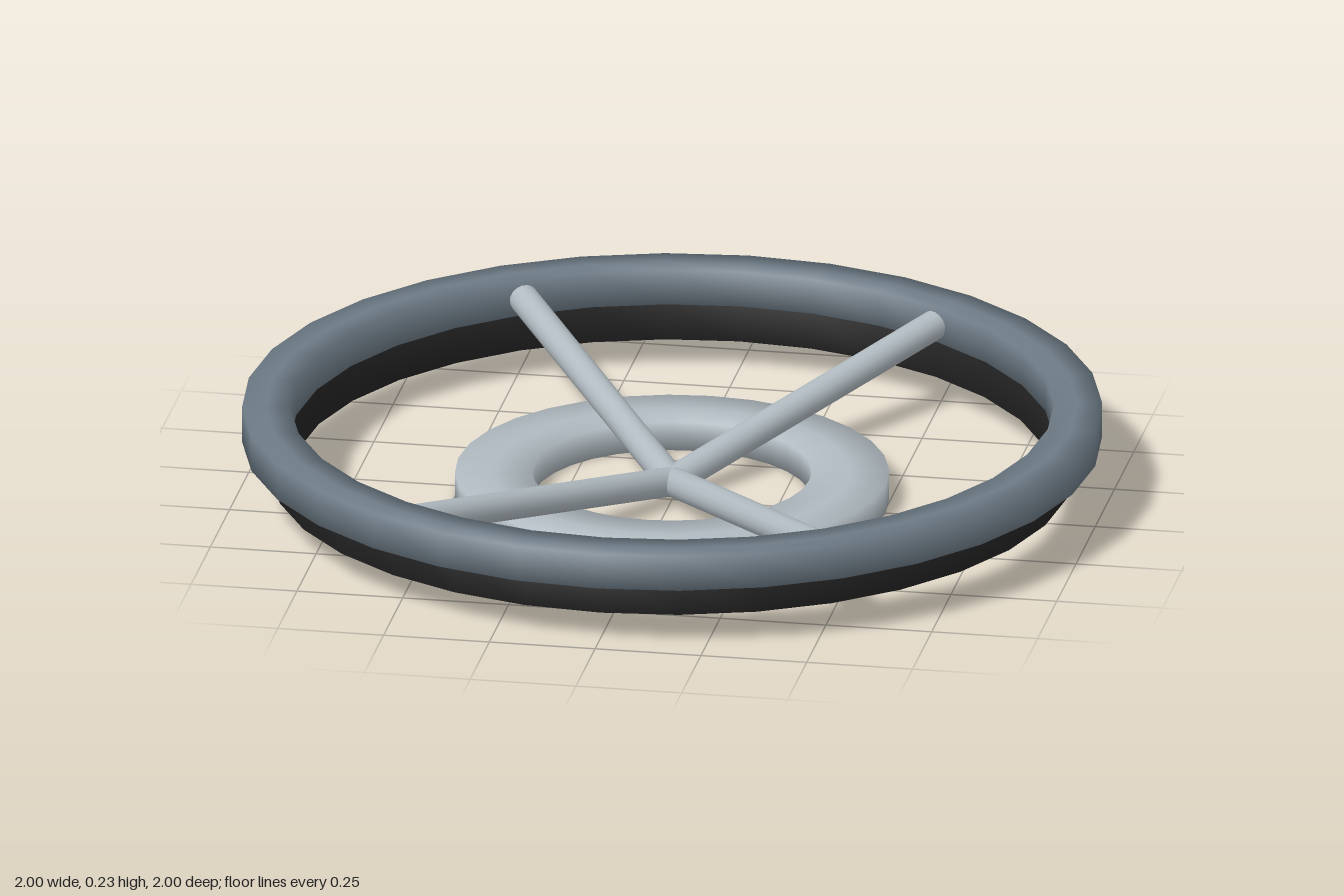
import * as THREE from 'three';

const rimPaint = new THREE.MeshStandardMaterial({ color: 0x6e7c87 });
rimPaint.name = 'slate grey';
const black = new THREE.MeshStandardMaterial({ color: 0x222222 });
black.name = 'black';
const metal = new THREE.MeshStandardMaterial({ color: 0xb0bac0 });
metal.name = 'light metal';

// Flat ring of rectangular section with softly shaded edges
function ring(name, inner, outer, bottom, top, material) {
  const middle = (inner + outer) / 2;
  const profile = [
    [middle, bottom], [outer, bottom], [outer, top],
    [middle, top], [inner, top], [inner, bottom], [middle, bottom],
  ].map(([x, y]) => new THREE.Vector2(x, y));
  const mesh = new THREE.Mesh(new THREE.LatheGeometry(profile, 32), material);
  mesh.name = name;
  return mesh;
}

// Round bar between two points
function bar(name, from, to, radius, material) {
  const along = new THREE.Vector3().subVectors(to, from);
  const mesh = new THREE.Mesh(new THREE.CylinderGeometry(radius, radius, along.length(), 16), material);
  mesh.position.addVectors(from, to).multiplyScalar(0.5);
  mesh.quaternion.setFromUnitVectors(new THREE.Vector3(0, 1, 0), along.normalize());
  mesh.name = name;
  return mesh;
}

export function createModel() {
  const model = new THREE.Group();
  model.name = 'spokedWheel';

  // Stacked rings: wide rim, dark band beneath it, hub at the base
  model.add(ring('rim', 0.888, 1, 0.15, 0.235, rimPaint));
  model.add(ring('lowerBand', 0.883, 0.933, 0.065, 0.15, black));
  model.add(ring('hubRing', 0.325, 0.505, 0, 0.07, metal));

  // Four spokes rising from the centre to the rim
  const spokes = new THREE.Group();
  spokes.name = 'spokes';
  for (const sx of [-1, 1]) {
    for (const sz of [-1, 1]) {
      spokes.add(bar('spoke', new THREE.Vector3(0, 0.045, 0),
        new THREE.Vector3(sx * 0.486, 0.192, sz * 0.742), 0.035, metal));
    }
  }
  model.add(spokes);
  return model;
}
